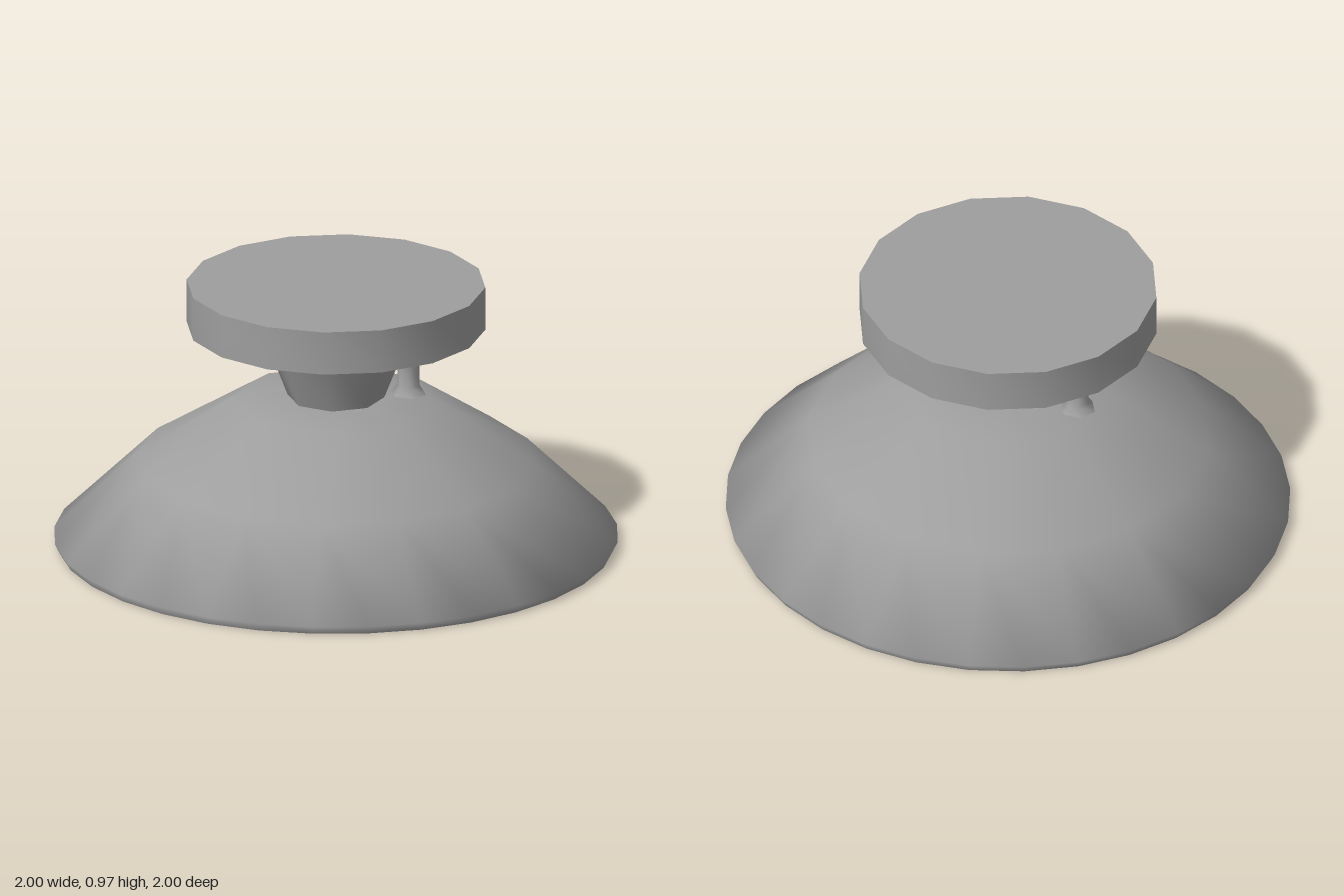
import * as THREE from 'three';
import { toCreasedNormals } from 'three/addons/utils/BufferGeometryUtils.js';

const material = new THREE.MeshStandardMaterial({ color: 0x9e9e9e });

function lathe(profile, sides, phase = 0) {
  return new THREE.LatheGeometry(profile.map(([r, y]) => new THREE.Vector2(r, y)), sides, phase);
}

function addPart(parent, name, geometry, crease = 1.2) {
  const mesh = new THREE.Mesh(toCreasedNormals(geometry, crease), material);
  mesh.name = name;
  parent.add(mesh);
  return mesh;
}

// Turned part whose rings have fewer sides further in: [radius, height, sides]
function fannedLathe(profile, maxSides) {
  const geometry = lathe(profile, maxSides);
  const position = geometry.attributes.position;
  for (let i = 0; i < position.count; i++) {
    const [radius, height, sides] = profile[i % profile.length];
    const column = Math.floor(i / profile.length);
    const skip = maxSides / sides;
    const angle = (column - (column % skip)) * (2 * Math.PI / maxSides);
    position.setXYZ(i, radius * Math.sin(angle), height, radius * Math.cos(angle));
  }
  return geometry;
}

export function createModel() {
  const lamp = new THREE.Group();
  lamp.name = 'ceilingLamp';

  // Ceiling plate with a shallow conical underside
  addPart(lamp, 'canopy', lathe([[0, 0.772], [0.25, 0.772], [0.53, 0.812], [0.53, 0.97], [0, 0.97]], 16));

  // Tapered neck between plate and shade
  addPart(lamp, 'neck', lathe([[0, 0.545], [0.17, 0.545], [0.26, 0.775], [0, 0.775]], 8));

  // Shade: down the inside, round the sharp rim, up the outside
  addPart(lamp, 'shade', fannedLathe([
    [0, 0.525, 8], [0.36, 0.51, 8], [0.69, 0.285, 16], [0.985, 0, 32],
    [1, 0.03, 32], [0.71, 0.315, 16], [0.37, 0.535, 8], [0.16, 0.55, 8], [0, 0.55, 8],
  ], 32), 1.4);

  // Tapered collar and bulb socket inside the shade
  addPart(lamp, 'socketCollar', lathe([[0, 0.42], [0.13, 0.42], [0.195, 0.48], [0.195, 0.545]], 8));
  addPart(lamp, 'socket', lathe([[0, 0.31], [0.16, 0.31], [0.135, 0.42]], 6, Math.PI / 2));

  // Screws under the plate, front and back
  for (const side of [1, -1]) {
    const profile = [[0, 0.668], [0.065, 0.668], [0.041, 0.7], [0.041, 0.8]];
    const screw = addPart(lamp, 'screw', lathe(profile, 6, Math.PI / 2));
    screw.position.set(-0.005, 0, 0.403 * side);
  }
  return lamp;
}
